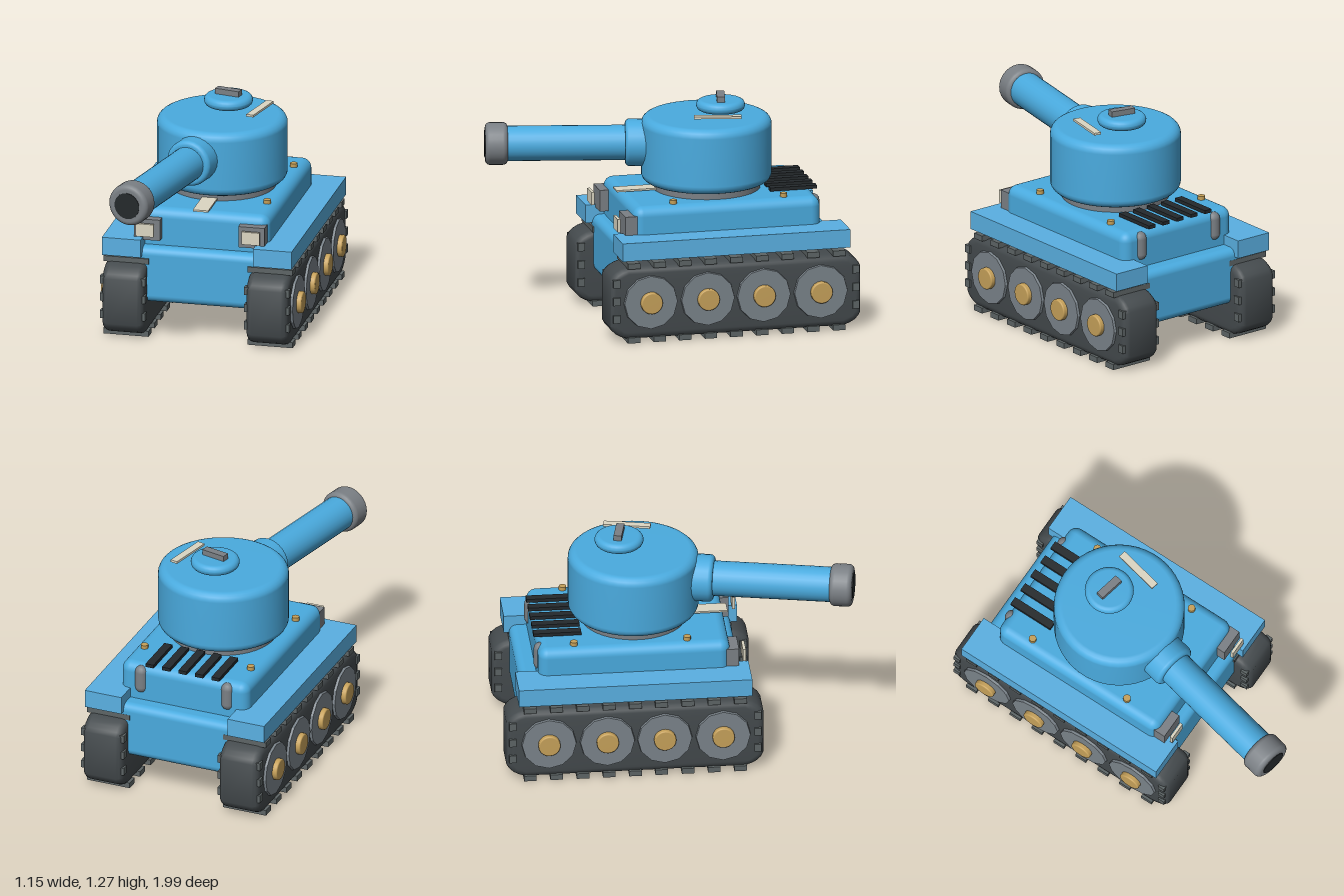
import * as THREE from 'three';
import { RoundedBoxGeometry } from 'three/addons/geometries/RoundedBoxGeometry.js';
import { toCreasedNormals } from 'three/addons/utils/BufferGeometryUtils.js';

const mat = (color, flatShading = false) => new THREE.MeshStandardMaterial({ color, flatShading });
const blue = mat(0x4aabdf);
const paleBlue = mat(0x5ab0e2);
const rubber = mat(0x454b4e);
const padGrey = mat(0x5d6566);
const wheelGrey = mat(0x7a838a, true);
const steel = mat(0x7b8085);
const brass = mat(0xc6a15a);
const cream = mat(0xdcd7c3);
const black = mat(0x24292c);

function add(parent, name, geometry, material, x = 0, y = 0, z = 0) {
  const mesh = new THREE.Mesh(geometry, material);
  mesh.name = name;
  mesh.position.set(x, y, z);
  parent.add(mesh);
  return mesh;
}

const box = (w, h, d) => new THREE.BoxGeometry(w, h, d);

// Upright disc or drum with rounded rims, centred on its own middle
function drum(radius, height, round, sides = 48) {
  const points = [new THREE.Vector2(0, -height / 2)];
  for (const end of [-1, 1]) {
    for (let i = 0; i <= 5; i++) {
      const a = (end < 0 ? i - 5 : i) / 5 * Math.PI / 2;
      points.push(new THREE.Vector2(
        radius - round + round * Math.cos(a),
        end * (height / 2 - round) + round * Math.sin(a)));
    }
  }
  points.push(new THREE.Vector2(0, height / 2));
  return new THREE.LatheGeometry(points, sides);
}

// Side outline of the track belt, swept across its width with rounded rims
function beltGeometry(length, height, width) {
  const a = length / 2, b = height / 2, cx = 0.1, cy = 0.075;
  const s = new THREE.Shape();
  s.moveTo(-a + cx, -b);
  s.lineTo(a - cx, -b);
  s.quadraticCurveTo(a - 0.02, -b + 0.02, a, -b + cy);
  s.lineTo(a, b - cy);
  s.quadraticCurveTo(a - 0.02, b - 0.02, a - cx, b);
  s.lineTo(-a + cx, b);
  s.quadraticCurveTo(-a + 0.02, b - 0.02, -a, b - cy);
  s.lineTo(-a, -b + cy);
  s.quadraticCurveTo(-a + 0.02, -b + 0.02, -a + cx, -b);
  const bevel = 0.035;
  const g = new THREE.ExtrudeGeometry(s, {
    depth: width - 2 * bevel, curveSegments: 4, bevelSegments: 3,
    bevelSize: bevel, bevelThickness: bevel, bevelOffset: -bevel,
  });
  g.translate(0, 0, bevel - width / 2).rotateY(-Math.PI / 2);
  return toCreasedNormals(g, 0.6);
}

function createTrack(side) {
  const track = new THREE.Group();
  track.name = side > 0 ? 'leftTrack' : 'rightTrack';
  const midZ = -0.278, x = side * 0.414;
  add(track, 'belt', beltGeometry(1.443, 0.414, 0.24), rubber, x, 0.225, midZ);

  // Tread pads along the top, bottom and both ends
  for (let i = 0; i < 9; i++) {
    const z = midZ + (i - 4) * 0.1475;
    add(track, 'treadPad', box(0.26, 0.032, 0.07), padGrey, x, 0.016, z);
    add(track, 'treadPad', box(0.26, 0.032, 0.07), padGrey, x, 0.444, z);
  }
  for (const end of [-1, 1]) {
    for (let i = 0; i < 3; i++) {
      add(track, 'endPad', box(0.26, 0.045, 0.04), padGrey, x, 0.142 + i * 0.102, midZ + end * 0.688);
    }
  }

  // Road wheels with brass hub caps on the outer face
  for (const z of [0.215, -0.113, -0.435, -0.763]) {
    const wheel = add(track, 'roadWheel', new THREE.CylinderGeometry(0.152, 0.162, 0.05, 12), wheelGrey, side * 0.523, 0.23, z);
    wheel.rotation.z = -side * Math.PI / 2;
    const cap = add(track, 'hubCap', drum(0.062, 0.05, 0.008, 20), brass, side * 0.551, 0.23, z);
    cap.rotation.z = -side * Math.PI / 2;
  }
  return track;
}

function createTurret() {
  const turret = new THREE.Group();
  turret.name = 'turret';
  turret.position.set(0, 0, -0.237);
  turret.rotation.y = -0.21;
  add(turret, 'turretRing', new THREE.CylinderGeometry(0.302, 0.302, 0.06, 40), steel, 0, 0.75, 0);
  add(turret, 'turretBody', drum(0.366, 0.375, 0.05), blue, 0, 0.96, 0);

  // Gun pieces lie along the turret's own forward axis
  const gunPart = (name, geometry, material, z) => {
    add(turret, name, geometry, material, 0, 0.99, z).rotation.x = Math.PI / 2;
  };
  gunPart('gunCollar', drum(0.133, 0.16, 0.025, 24), blue, 0.375);
  gunPart('barrel', new THREE.CylinderGeometry(0.099, 0.099, 0.8, 28), blue, 0.77);
  gunPart('muzzle', drum(0.12, 0.127, 0.028, 28), steel, 1.174);
  gunPart('bore', new THREE.CylinderGeometry(0.076, 0.076, 0.03, 18), black, 1.226);

  // Hatch, its handle and the pale roof stripe
  add(turret, 'hatch', drum(0.137, 0.06, 0.029, 32), blue, 0, 1.205, -0.08);
  add(turret, 'hatchHandle', box(0.145, 0.034, 0.045), steel, 0, 1.25, -0.08);
  add(turret, 'roofStripe', box(0.043, 0.013, 0.265), cream, 0.205, 1.187, -0.058);
  return turret;
}

export function createModel() {
  const model = new THREE.Group();
  model.name = 'tank';

  // Hull
  add(model, 'lowerHull', new RoundedBoxGeometry(0.76, 0.325, 1.24, 4, 0.045), blue, 0, 0.36, -0.282);
  add(model, 'upperHull', new RoundedBoxGeometry(0.774, 0.285, 1.075, 4, 0.055), blue, 0, 0.592, -0.267);

  // Paired parts on either side
  for (const side of [-1, 1]) {
    model.add(createTrack(side));
    add(model, 'fender', box(0.222, 0.104, 1.31), paleBlue, side * 0.434, 0.527, -0.277);
    add(model, 'headlightHousing', box(0.15, 0.122, 0.07), steel, side * 0.3, 0.624, 0.285);
    add(model, 'headlightLens', box(0.103, 0.074, 0.017), cream, side * 0.304, 0.632, 0.352);
    add(model, 'exhaust', new THREE.CapsuleGeometry(0.038, 0.09, 4, 16), steel, side * 0.262, 0.642, -0.785);
    for (const z of [0.033, -0.602]) {
      add(model, 'deckBolt', new THREE.CylinderGeometry(0.021, 0.021, 0.03, 12), brass, side * 0.323, 0.741, z);
    }
  }

  // Engine grille and front deck stripe
  for (let i = -2; i <= 2; i++) {
    add(model, 'grilleBar', box(0.048, 0.02, 0.268), black, i * 0.1, 0.75, -0.685);
  }
  add(model, 'deckStripe', box(0.088, 0.01, 0.27), cream, 0, 0.747, 0.153);

  model.add(createTurret());
  return model;
}
